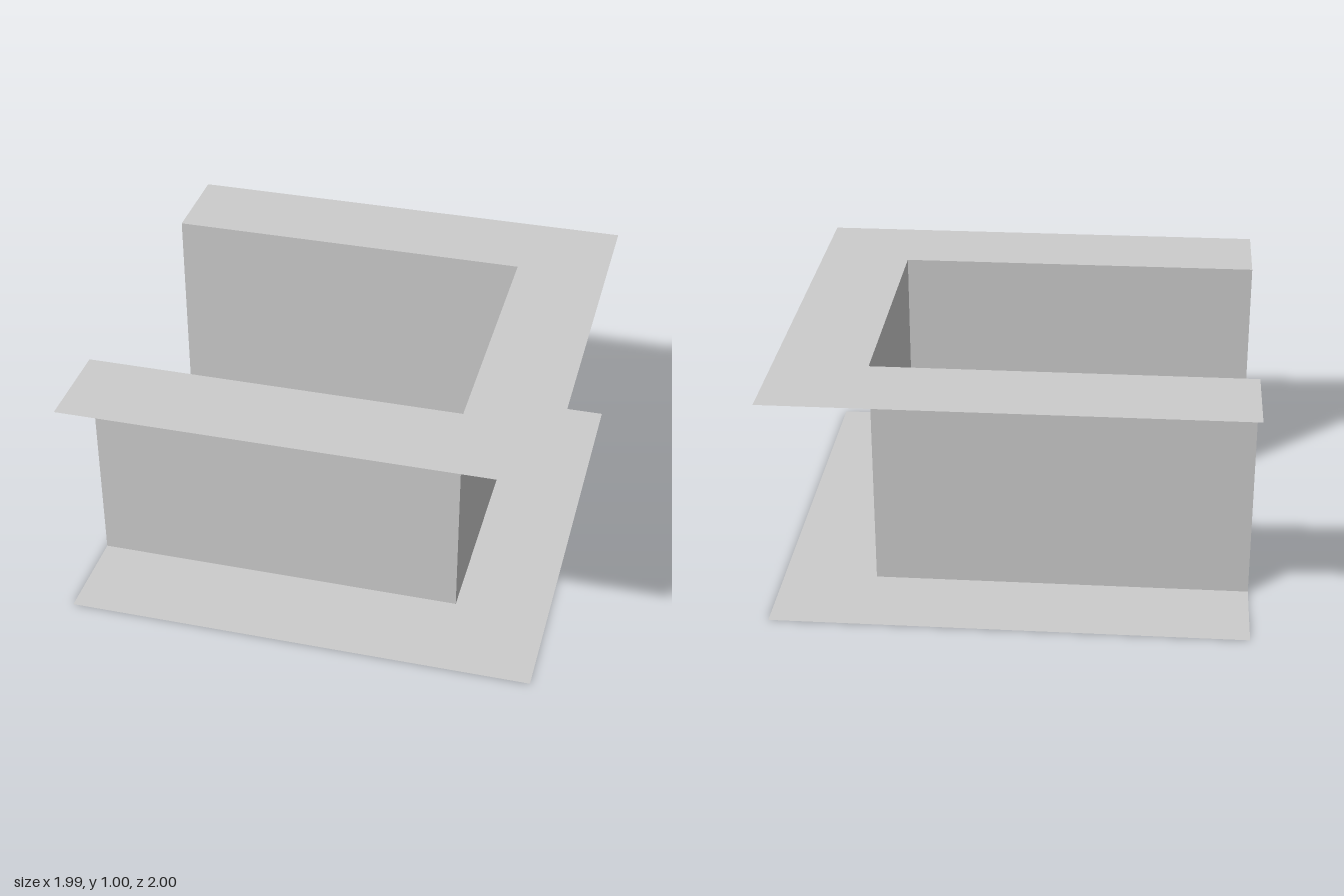
import * as THREE from 'three';

const HALF = 0.993;   // half width of the square sheets
const INNER = 0.596;  // half width of the channel
const HEIGHT = 0.995; // wall height
const SHIFT = 0.0075; // floor sits slightly forward of the upper part

export function createModel() {
  const group = new THREE.Group();
  const material = new THREE.MeshStandardMaterial({
    color: 0xcccccc, flatShading: true, side: THREE.DoubleSide,
  });
  const add = (name, geometry, x, y, z) => {
    const mesh = new THREE.Mesh(geometry, material);
    mesh.name = name;
    mesh.position.set(x, y, z);
    group.add(mesh);
  };

  // Square floor sheet
  add('floor', new THREE.PlaneGeometry(2 * HALF, 2 * HALF).rotateX(-Math.PI / 2), 0, 0, SHIFT);

  // U-shaped top flange, open towards -x
  const outline = [
    [-HALF, -HALF], [HALF, -HALF], [HALF, HALF], [-HALF, HALF],
    [-HALF, INNER], [INNER, INNER], [INNER, -INNER], [-HALF, -INNER],
  ].map(([x, y]) => new THREE.Vector2(x, y));
  add('topFlange', new THREE.ShapeGeometry(new THREE.Shape(outline)).rotateX(-Math.PI / 2), 0, HEIGHT, -SHIFT);

  // Two side walls and the end wall that joins them
  const length = HALF + INNER;
  for (const [name, side] of [['frontWall', 1], ['backWall', -1]]) {
    const wall = new THREE.PlaneGeometry(length, HEIGHT);
    if (side < 0) wall.rotateY(Math.PI);
    add(name, wall, (INNER - HALF) / 2, HEIGHT / 2, side * INNER - SHIFT);
  }
  add('endWall', new THREE.PlaneGeometry(2 * INNER, HEIGHT).rotateY(Math.PI / 2), INNER, HEIGHT / 2, -SHIFT);

  return group;
}
